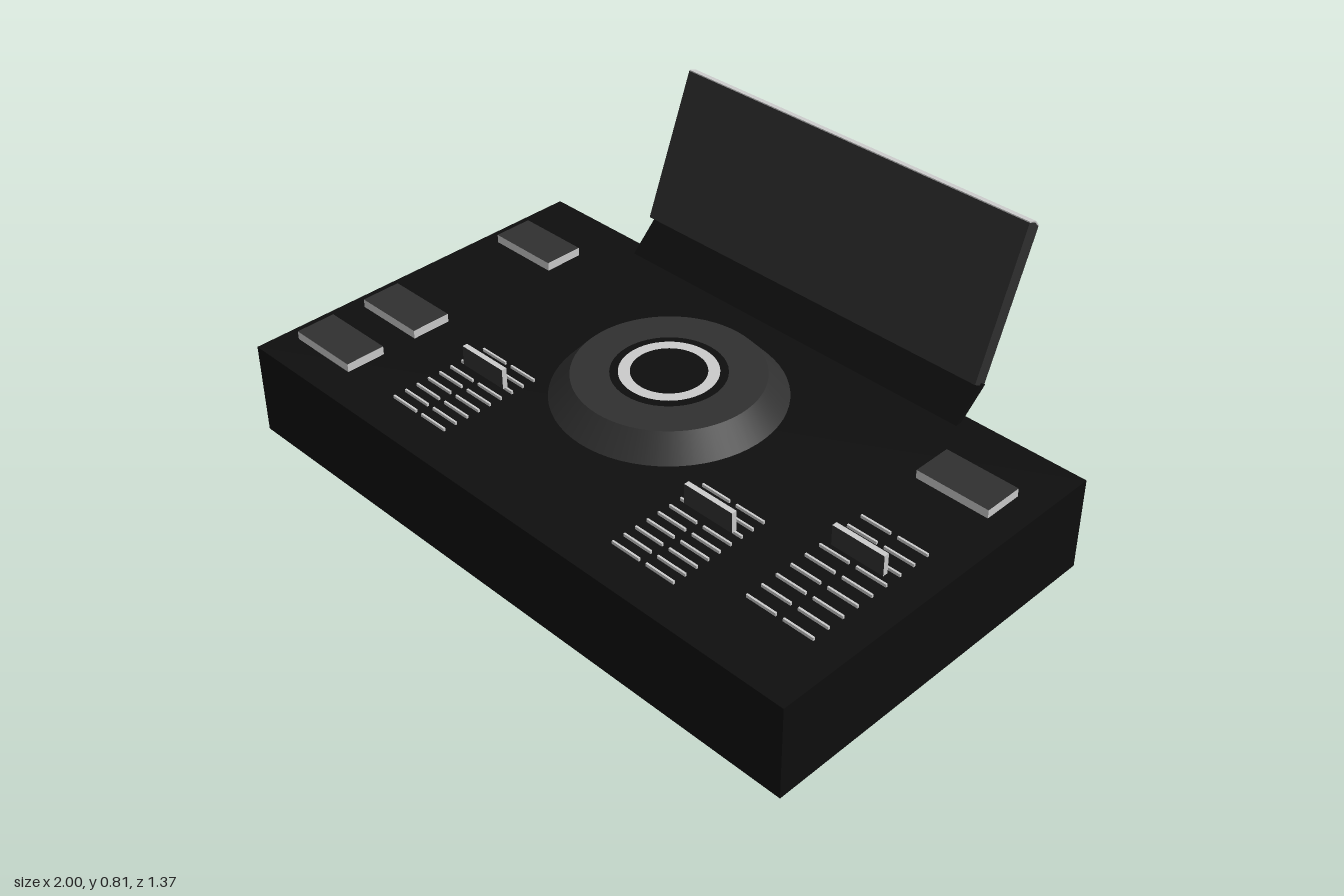
import * as THREE from 'three';

const mat = (color) => new THREE.MeshStandardMaterial({ color });
const black = mat(0x0e0e0e), dark = mat(0x303030), grey = mat(0xcccccc);
const TOP = 0.286; // height of the case's top face

export function createModel() {
  const model = new THREE.Group();

  const add = (name, geometry, material, parent = model) => {
    const mesh = new THREE.Mesh(geometry, material);
    mesh.name = name;
    parent.add(mesh);
    return mesh;
  };
  const box = (name, size, pos, material, parent) => {
    const mesh = add(name, new THREE.BoxGeometry(...size), material, parent);
    mesh.position.set(...pos);
    return mesh;
  };
  // Side profile given as [z, y] points, extruded along x
  const slab = (name, points, material) => {
    const shape = new THREE.Shape(points.map(([z, y]) => new THREE.Vector2(z, y)));
    const geometry = new THREE.ExtrudeGeometry(shape, { depth: 1.23, bevelEnabled: false });
    geometry.rotateY(-Math.PI / 2).translate(0.62, 0, 0);
    return add(name, geometry, material);
  };

  // Case
  box('case', [2, TOP, 1.144], [0, TOP / 2, 0.114], black);

  // Tilted screen on its hinge plate, with a light chamfered top edge
  slab('screenHinge', [[-0.4, 0.28], [-0.5, 0.378], [-0.52, 0.364], [-0.42, 0.28]], black);
  slab('screen', [[-0.473, 0.385], [-0.514, 0.363], [-0.683, 0.783], [-0.666, 0.803], [-0.641, 0.812]], dark);
  slab('screenTopEdge', [[-0.642, 0.815], [-0.668, 0.807], [-0.686, 0.785],
    [-0.683, 0.783], [-0.666, 0.803], [-0.641, 0.812]], grey);

  // Jog wheel, raised slightly clear of the case
  const wheel = new THREE.Group();
  wheel.name = 'jogWheel';
  wheel.position.set(0, 0.315, 0.05);
  model.add(wheel);
  add('wheelBody', new THREE.CylinderGeometry(0.266, 0.326, 0.067, 64), dark, wheel).position.y = 0.0335;
  const hub = add('wheelHub', new THREE.CircleGeometry(0.16, 48), black, wheel);
  const ring = add('wheelRing', new THREE.RingGeometry(0.105, 0.137, 48), grey, wheel);
  hub.position.y = 0.0685;
  ring.position.y = 0.07;
  hub.rotation.x = ring.rotation.x = -Math.PI / 2;

  // Push buttons: light sides with a dark top face
  const buttonMaterials = [grey, grey, dark, grey, grey, grey];
  const buttons = [
    ['powerButton', -0.835, -0.22], ['stopButton', -0.835, 0.287],
    ['playButton', -0.835, 0.519], ['switchButton', 0.8, -0.22],
  ];
  for (const [name, x, z] of buttons) {
    box(name, [0.23, 0.026, 0.123], [x, TOP + 0.013, z], buttonMaterials);
  }

  // Sliders: two columns of scale marks and a thin upright handle
  const handleMaterials = [grey, grey, grey, grey, dark, dark];
  const sliders = [
    ['pitchSlider', -0.429, 0.25, 0.565, 0.333],
    ['bassSlider', 0.429, 0.25, 0.565, 0.333],
    ['volumeSlider', 0.795, 0.06, 0.475, 0.193],
  ];
  for (const [name, x, zStart, zEnd, zHandle] of sliders) {
    const slider = new THREE.Group();
    slider.name = name;
    slider.position.set(x, TOP, 0);
    model.add(slider);
    for (let i = 0; i < 9; i++) {
      const z = zStart + (zEnd - zStart) * i / 8;
      for (const side of [-1, 1]) {
        box('scaleMark', [0.095, 0.009, 0.006], [side * 0.059, 0.0045, z], grey, slider);
      }
    }
    box('handle', [0.165, 0.062, 0.016], [0, 0.041, zHandle], handleMaterials, slider);
  }

  return model;
}
